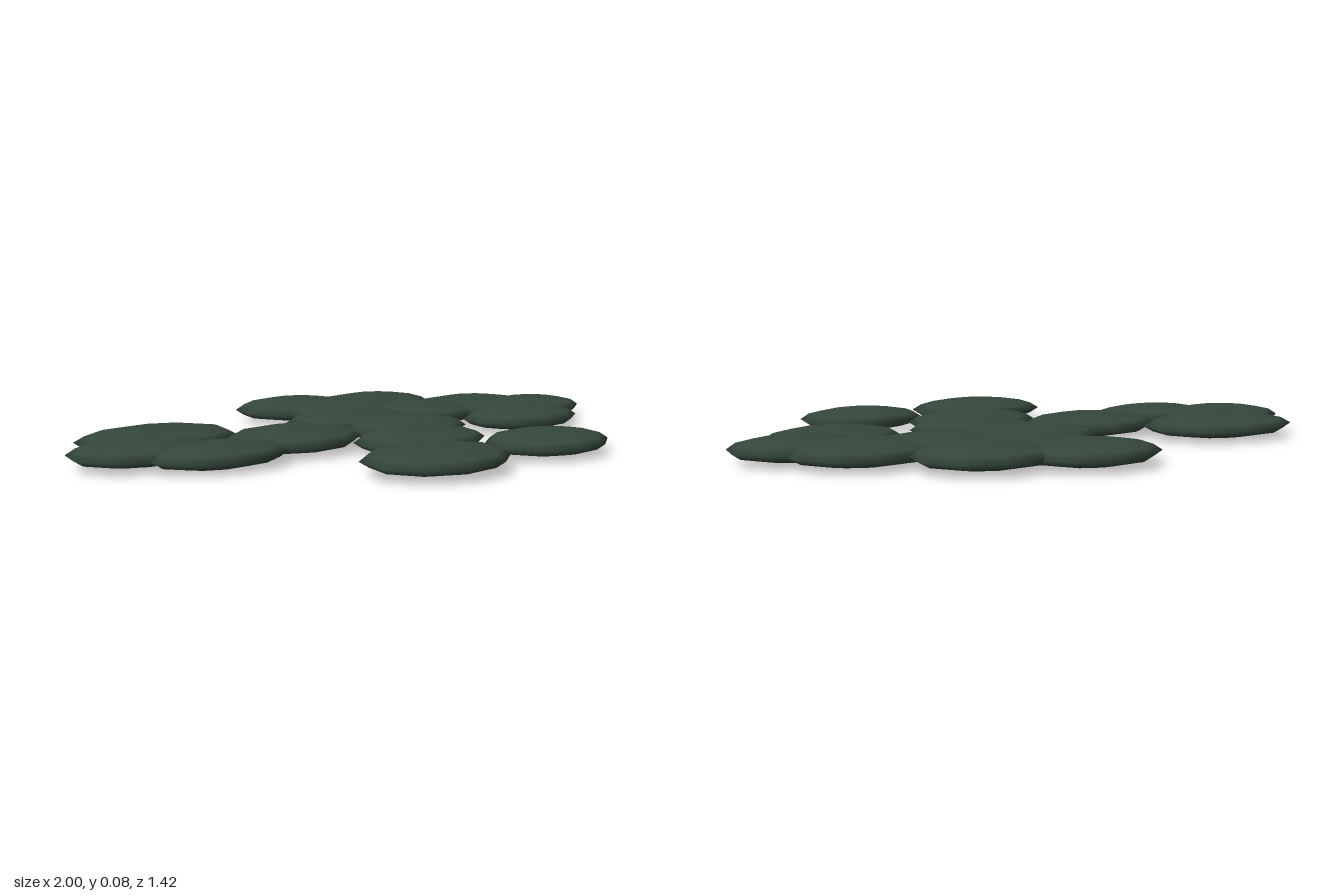
import * as THREE from 'three';

// Each pad: centre x, centre z, half width, half depth
const PADS = [
  [0.005, -0.54, 0.217, 0.174],
  [0.305, -0.475, 0.225, 0.178],
  [0.62, -0.26, 0.23, 0.19],
  [0.79, -0.135, 0.205, 0.156],
  [0.637, 0.03, 0.215, 0.157],
  [0.43, 0.453, 0.21, 0.167],
  [-0.035, 0.52, 0.233, 0.19],
  [0.087, 0.23, 0.22, 0.165],
  [0.157, 0.03, 0.21, 0.16],
  [0.05, -0.19, 0.22, 0.172],
  [0.375, -0.23, 0.225, 0.17],
  [0.135, -0.375, 0.222, 0.172],
  [-0.265, 0.013, 0.223, 0.187],
  [-0.66, -0.19, 0.26, 0.192],
  [-0.78, 0, 0.22, 0.165],
  [-0.58, 0.138, 0.22, 0.146],
];

export function createModel() {
  const group = new THREE.Group();
  group.name = 'padCluster';
  const green = new THREE.MeshStandardMaterial({ color: 0x35473b });
  green.name = 'dark green';

  // Ten-sided flattened ball, turned so a corner points along z
  const ball = new THREE.SphereGeometry(1, 10, 6);
  ball.rotateY(Math.PI / 10);
  const flatSide = Math.cos(Math.PI / 10);

  PADS.forEach(([x, z, rx, rz], i) => {
    const pad = new THREE.Mesh(ball, green);
    pad.name = `pad${i + 1}`;
    pad.scale.set(rx / flatSide, 0.039, rz);
    pad.position.set(x, 0.042 + 0.002 * Math.sin(i * 2.4), z);
    group.add(pad);
  });
  return group;
}
